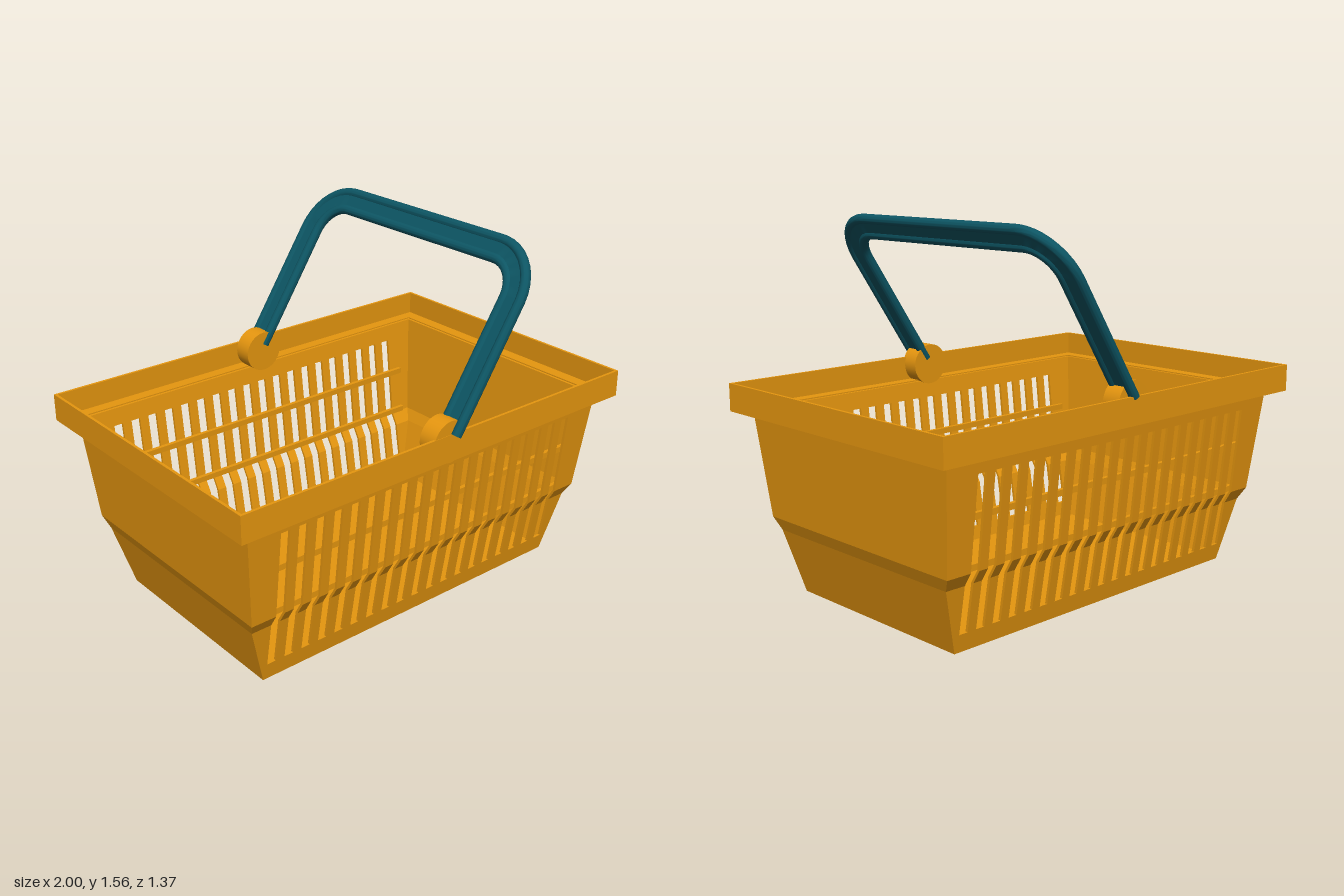
import * as THREE from 'three';
import { mergeGeometries, toCreasedNormals } from 'three/addons/utils/BufferGeometryUtils.js';

const shellMat = new THREE.MeshStandardMaterial({ color: 0xe6960f });
const handleMat = new THREE.MeshStandardMaterial({ color: 0x0d5563 });

// Body profile: height, half width, half depth
const PROFILE = [
  [0, 0.79, 0.47],
  [0.275, 0.868, 0.517],
  [0.33, 0.89, 0.55],
  [0.785, 0.932, 0.602],
];
const WALL = 0.012;

function profileAt(y, column) {
  let i = 0;
  while (i < PROFILE.length - 2 && y > PROFILE[i + 1][0]) i++;
  const a = PROFILE[i], b = PROFILE[i + 1];
  return THREE.MathUtils.mapLinear(y, a[0], b[0], a[column], b[column]);
}
const halfX = (y) => profileAt(y, 1);
const halfZ = (y) => profileAt(y, 2);

// Box between two heights, split at the profile's bends; place(u, y, w) gives x and z
function bentBox(y0, y1, place) {
  const levels = [y0, ...PROFILE.map((p) => p[0]).filter((y) => y > y0 && y < y1), y1];
  const n = levels.length - 1;
  const geo = new THREE.BoxGeometry(1, 1, 1, 1, n, 1).toNonIndexed();
  const pos = geo.attributes.position;
  for (let i = 0; i < pos.count; i++) {
    const y = levels[Math.round((pos.getY(i) + 0.5) * n)];
    const [x, z] = place(pos.getX(i) + 0.5, y, pos.getZ(i) + 0.5);
    pos.setXYZ(i, x, y, z);
  }
  geo.computeVertexNormals();
  return geo;
}

function mesh(name, geo, mat = shellMat) {
  const m = new THREE.Mesh(geo, mat);
  m.name = name;
  return m;
}

// Rectangular ring lying flat between two heights
function ring(ox, oz, ix, iz, y0, y1) {
  const rect = (S, x, z) => new S([[-x, -z], [x, -z], [x, z], [-x, z]].map((p) => new THREE.Vector2(...p)));
  const shape = rect(THREE.Shape, ox, oz);
  shape.holes.push(rect(THREE.Path, ix, iz));
  const geo = new THREE.ExtrudeGeometry(shape, { depth: y1 - y0, bevelEnabled: false });
  return geo.rotateX(-Math.PI / 2).translate(0, y0, 0);
}

// Long wall with a row of tall slots
function slottedWall() {
  const top = 0.785, slotLow = 0.075, slotHigh = 0.71;
  const count = 19, pitch = 0.084, slot = 0.042;
  const edge = ((count - 1) * pitch + slot) / 2;
  const panel = (y0, y1, left, right) => bentBox(y0, y1, (u, y, w) => [
    THREE.MathUtils.lerp(left(y), right(y), u),
    halfZ(y) - WALL * (1 - w),
  ]);
  const parts = [
    panel(0, slotLow, (y) => -halfX(y), halfX),
    panel(slotHigh, top, (y) => -halfX(y), halfX),
    panel(slotLow, slotHigh, (y) => -halfX(y), () => -edge),
    panel(slotLow, slotHigh, () => edge, halfX),
  ];
  for (let i = 0; i < count - 1; i++) {
    const left = -edge + slot + i * pitch;
    parts.push(panel(slotLow, slotHigh, () => left, () => left + pitch - slot));
  }
  return mergeGeometries(parts);
}

function endWall() {
  return bentBox(0, 0.785, (u, y, w) => [
    halfX(y) - WALL * (1 - u),
    (w * 2 - 1) * (halfZ(y) - 0.001),
  ]);
}

// Grip section: a thin web between two rounded edges
function gripSection() {
  const r = 0.021, c = 0.04, a = Math.asin(0.6);
  const shape = new THREE.Shape();
  shape.absarc(c, 0, r, a - Math.PI, Math.PI - a, false);
  shape.absarc(-c, 0, r, a, 2 * Math.PI - a, false);
  shape.closePath();
  return shape;
}

function handleGeometry() {
  const z = 0.625, h = 0.765, r = 0.175, k = r * 0.448;
  const v = (y, zz) => new THREE.Vector3(0, y, zz);
  const path = new THREE.CurvePath();
  path.add(new THREE.LineCurve3(v(0.02, z), v(h - r, z)));
  path.add(new THREE.CubicBezierCurve3(v(h - r, z), v(h - k, z), v(h, z - k), v(h, z - r)));
  path.add(new THREE.LineCurve3(v(h, z - r), v(h, r - z)));
  path.add(new THREE.CubicBezierCurve3(v(h, r - z), v(h, k - z), v(h - k, -z), v(h - r, -z)));
  path.add(new THREE.LineCurve3(v(h - r, -z), v(0.02, -z)));
  const geo = new THREE.ExtrudeGeometry(gripSection(), { steps: 90, curveSegments: 10, extrudePath: path });
  return toCreasedNormals(geo, 0.5);
}

export function createModel() {
  const model = new THREE.Group();
  model.name = 'shoppingBasket';

  // Floor
  model.add(mesh('floor', bentBox(0, 0.015, (u, y, w) => [
    (u * 2 - 1) * (halfX(y) - WALL / 2),
    (w * 2 - 1) * (halfZ(y) - WALL / 2),
  ])));

  // Walls, each pair turned half a circle
  const long = slottedWall(), end = endWall();
  for (const [front, side, turn] of [['frontWall', 'leftWall', 0], ['backWall', 'rightWall', Math.PI]]) {
    const a = mesh(front, long), b = mesh(side, end);
    a.rotation.y = b.rotation.y = turn;
    model.add(a, b);
  }

  // Rim: flat ledge with an upright band around it
  model.add(mesh('rimLedge', ring(0.995, 0.66, 0.932, 0.602, 0.778, 0.79)));
  model.add(mesh('rimBand', ring(1, 0.665, 0.988, 0.653, 0.775, 0.892)));

  // Rails running behind the slots
  for (const s of [1, -1]) {
    for (const y of [0.545, 0.345]) {
      const rail = mesh('rail', new THREE.BoxGeometry(1.67, 0.025, 0.018));
      rail.position.set(0, y, s * (halfZ(y) - 0.02));
      model.add(rail);
    }
  }

  // Pivot discs
  for (const [name, z] of [['frontPivot', 0.622], ['backPivot', -0.6]]) {
    const disc = mesh(name, new THREE.CylinderGeometry(0.09, 0.09, 0.082, 32).rotateX(Math.PI / 2));
    disc.position.set(0, 0.86, z);
    model.add(disc);
  }

  // Leaning handle
  const handle = mesh('handle', handleGeometry(), handleMat);
  handle.position.set(0, 0.87, 0.013);
  handle.rotation.z = -0.585;
  model.add(handle);

  return model;
}
